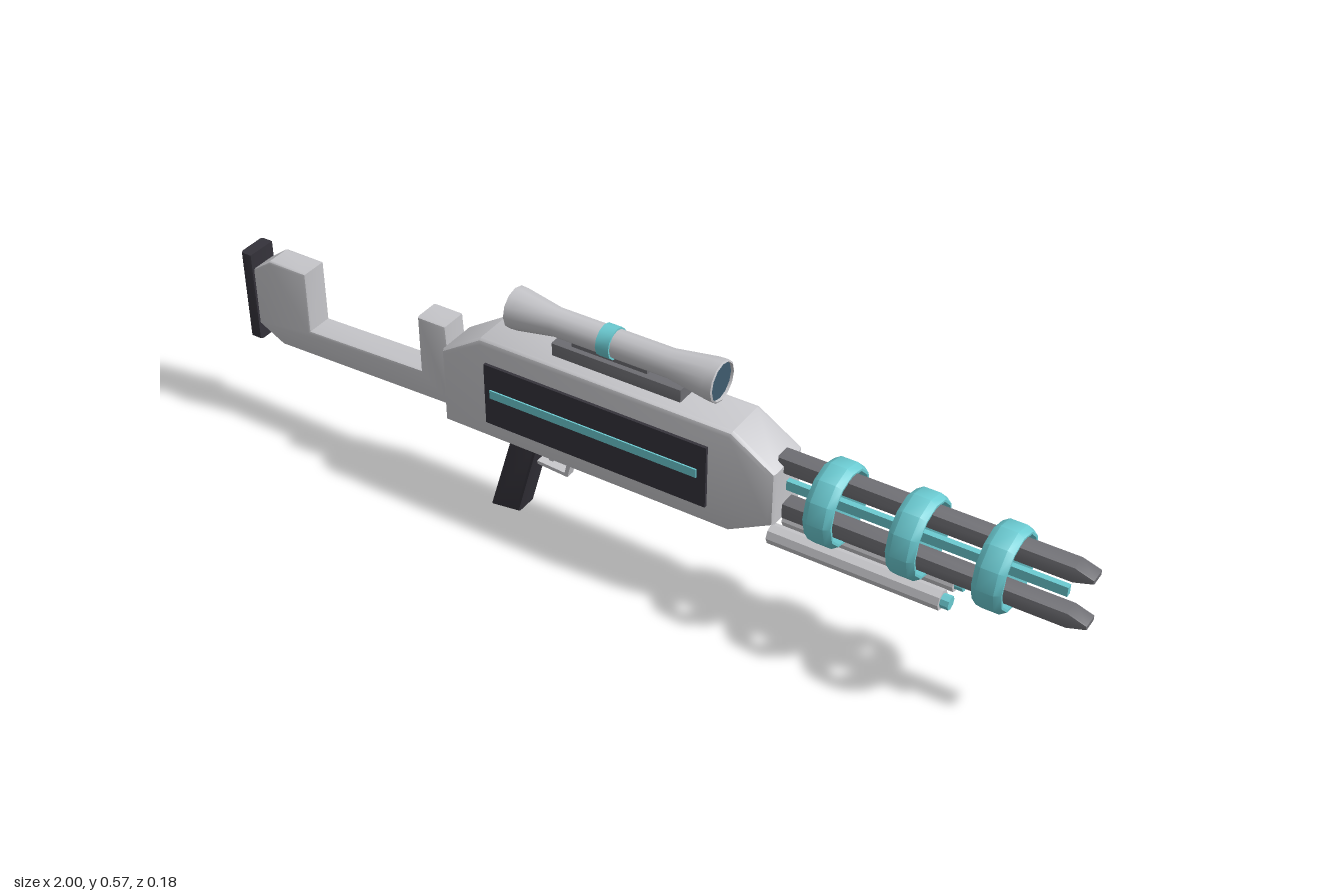
import * as THREE from 'three';
import { toCreasedNormals } from 'three/addons/utils/BufferGeometryUtils.js';

const paint = (name, color) => {
  const m = new THREE.MeshStandardMaterial({ color });
  m.name = name;
  return m;
};

export function createModel() {
  const model = new THREE.Group();
  const shell = paint('light grey shell', 0xc6c6ca);
  const dark = paint('charcoal', 0x35333b);
  const steel = paint('dark steel', 0x6e6e73);
  const glow = paint('teal', 0x6bcbd2);
  const glass = paint('blue glass', 0x3f5b6e);

  const add = (name, geometry, material, x = 0, y = 0, z = 0) => {
    const mesh = new THREE.Mesh(geometry, material);
    mesh.name = name;
    mesh.position.set(x, y, z);
    model.add(mesh);
    return mesh;
  };

  // Side outline extruded across z, with bevels kept inside the outline
  const slab = (points, halfWidth, bevel = 0) => {
    const shape = new THREE.Shape(points.map(([x, y]) => new THREE.Vector2(x, y)));
    const g = new THREE.ExtrudeGeometry(shape, {
      depth: 2 * (halfWidth - bevel), bevelEnabled: bevel > 0, bevelSize: bevel,
      bevelThickness: bevel, bevelOffset: -bevel, bevelSegments: 2,
    });
    g.translate(0, 0, bevel - halfWidth);
    return toCreasedNormals(g, 0.6);
  };

  // Profile of [x, radius] turned around the x axis
  const turned = (profile, sides, crease = 0.6) => {
    const g = new THREE.LatheGeometry(profile.map(([x, r]) => new THREE.Vector2(r, x)), sides);
    g.rotateZ(-Math.PI / 2);
    return toCreasedNormals(g, crease);
  };

  // Receiver
  add('receiver', slab([
    [-0.445, 0.21], [0.255, 0.21], [0.355, 0.265], [0.355, 0.392],
    [0.255, 0.455], [-0.345, 0.455], [-0.445, 0.39],
  ], 0.058, 0.012), shell);

  // Side panels with a light strip
  for (const side of [1, -1]) {
    add('sidePanel', new THREE.BoxGeometry(0.535, 0.148, 0.009), dark, -0.062, 0.329, side * 0.0605);
    add('lightStrip', new THREE.BoxGeometry(0.5, 0.02, 0.005), glow, -0.065, 0.334, side * 0.066);
  }

  // Stock and butt plate
  add('stock', slab([
    [-0.975, 0.255], [-0.91, 0.22], [-0.44, 0.232], [-0.45, 0.432], [-0.522, 0.432],
    [-0.522, 0.295], [-0.825, 0.285], [-0.825, 0.432], [-0.925, 0.432], [-0.975, 0.395],
  ], 0.033, 0.006), shell);
  add('buttPlate', slab([
    [-1, 0.213], [-0.971, 0.213], [-0.971, 0.435], [-1, 0.435],
  ], 0.038, 0.007), dark);

  // Grip, trigger and guard
  add('grip', slab([
    [-0.355, 0], [-0.28, 0.01], [-0.222, 0.22], [-0.29, 0.22],
  ], 0.03, 0.007), dark);
  add('triggerGuard', slab([
    [-0.24, 0.155], [-0.24, 0.147], [-0.163, 0.142], [-0.145, 0.215],
    [-0.155, 0.215], [-0.17, 0.151],
  ], 0.011), shell);
  add('trigger', slab([
    [-0.212, 0.165], [-0.202, 0.165], [-0.19, 0.19], [-0.193, 0.215], [-0.208, 0.215],
  ], 0.007), shell);

  // Scope on its rail
  add('scopeRail', slab([
    [-0.187, 0.45], [0.12, 0.45], [0.12, 0.484], [-0.187, 0.484],
  ], 0.023, 0.003), steel);
  add('scopeFoot', new THREE.BoxGeometry(0.18, 0.025, 0.022), steel, -0.055, 0.491, 0);
  add('scopeTube', turned([
    [-0.282, 0.041], [-0.29, 0.042], [-0.288, 0.046], [-0.27, 0.045], [-0.185, 0.031],
    [0.085, 0.031], [0.18, 0.045], [0.2, 0.046], [0.202, 0.042], [0.194, 0.041],
  ], 12), shell, 0, 0.523, 0);
  add('scopeBand', turned([
    [-0.073, 0.03], [-0.073, 0.035], [-0.042, 0.035], [-0.042, 0.03],
  ], 12), glow, 0, 0.523, 0);
  for (const [x, turn] of [[0.196, 1], [-0.284, -1]]) {
    const lens = add('scopeLens', new THREE.CircleGeometry(0.042, 12), glass, x, 0.523, 0);
    lens.rotation.y = turn * Math.PI / 2;
  }

  // Twin rails with wedge tips around a glowing core rod
  for (const y of [0.28, 0.391]) {
    add('barrelRail', slab([
      [0.34, -0.018], [0.96, -0.018], [1, -0.005], [1, 0.005], [0.96, 0.018], [0.34, 0.018],
    ], 0.02, 0.004), steel, 0, y, 0);
  }
  add('coreRod', new THREE.BoxGeometry(0.61, 0.022, 0.013), glow, 0.645, 0.336, 0);

  // Bevelled coil rings
  for (const x of [0.463, 0.641, 0.82]) {
    add('coilRing', turned([
      [-0.031, 0.076], [-0.031, 0.081], [-0.018, 0.09], [0.018, 0.09],
      [0.031, 0.081], [0.031, 0.076], [-0.031, 0.076],
    ], 12), glow, x, 0.335, 0);
  }

  // Lower pair of tubes with glowing tips
  for (const z of [-0.032, 0.032]) {
    add('lowerTube', turned([
      [0.34, 0], [0.34, 0.022], [0.717, 0.022], [0.717, 0],
    ], 8, 0.3), shell, 0, 0.227, z);
    add('lowerTubeTip', turned([
      [0.71, 0.015], [0.735, 0.015], [0.735, 0],
    ], 8, 0.3), glow, 0, 0.227, z);
  }

  return model;
}
